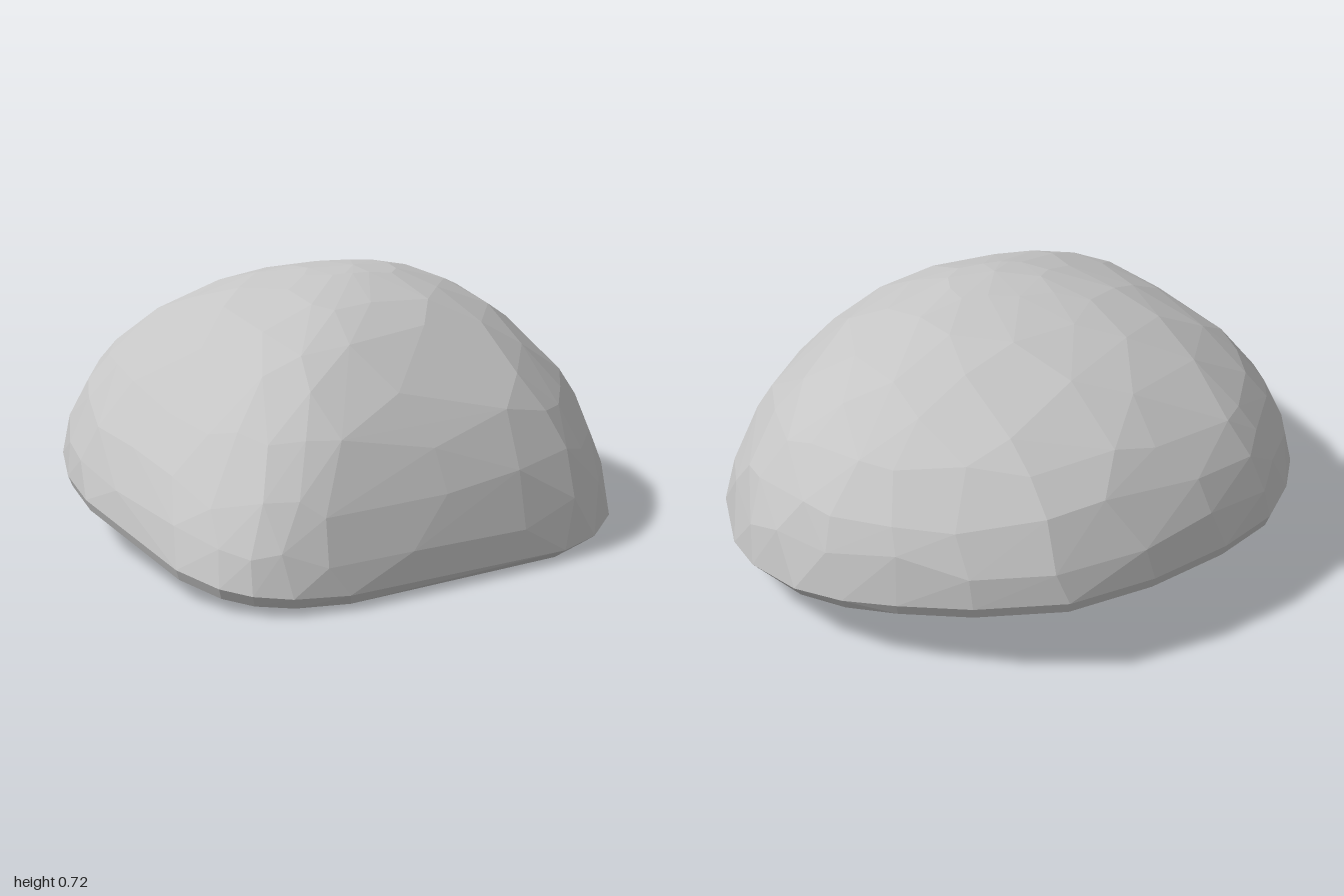
import * as THREE from 'three';
import { ConvexGeometry } from 'three/addons/geometries/ConvexGeometry.js';

// plan outline: x, z, and roundness of the dome profile above that point
const OUTLINE = [
  [0, -1, 2.02], [0.15, -1, 2.02], [0.3, -0.96, 2], [0.47, -0.85, 1.95], [0.58, -0.73, 1.9],
  [0.73, -0.47, 1.82], [0.78, -0.2, 1.74], [0.8, 0, 1.7], [0.77, 0.2, 1.68], [0.7, 0.35, 1.66],
  [0.45, 0.62, 1.62], [0.2, 0.9, 1.56], [0.07, 0.98, 1.53], [-0.03, 1, 1.53], [-0.12, 0.98, 1.54],
  [-0.25, 0.89, 1.58], [-0.42, 0.68, 1.64], [-0.6, 0.46, 1.74], [-0.7, 0.28, 1.83], [-0.77, 0.08, 1.9],
  [-0.8, -0.1, 1.95], [-0.8, -0.3, 1.96], [-0.73, -0.5, 1.96], [-0.6, -0.72, 1.98], [-0.43, -0.9, 2],
  [-0.2, -0.98, 2.02],
];
const APEX = new THREE.Vector3(0.05, 0.72, -0.1);
const RIM = 0.03;
const LEVELS = 8;

// tilted plane of the underside
const baseY = (x, z) => 0.083 - 0.093 * x - 0.065 * z;

function createModel() {
  const stone = new THREE.MeshStandardMaterial({ color: 0xc5c5c5 });
  stone.name = 'grey stone';

  let seed = 7;
  const jitter = (amount) => {
    seed = (seed * 16807) % 2147483647;
    return (seed / 2147483647 - 0.5) * amount;
  };

  const points = [APEX.clone()];
  OUTLINE.forEach(([ox, oz, p], i) => {
    // narrow bevel around the underside, widest on the left
    const inset = 0.985 - 0.045 * Math.max(0, ox);
    const bx = APEX.x + (ox - APEX.x) * inset;
    const bz = APEX.z + (oz - APEX.z) * inset;
    points.push(new THREE.Vector3(bx, baseY(bx, bz), bz));

    // rim, then rings curving up to the apex with slightly uneven facets
    points.push(new THREE.Vector3(ox, baseY(ox, oz) + RIM, oz));
    const next = OUTLINE[(i + 1) % OUTLINE.length];
    for (let k = 1; k < LEVELS; k++) {
      if (k > 3 && (i + k) % 2) continue;
      const blend = 0.3 + jitter(0.5);
      const px = THREE.MathUtils.lerp(ox, next[0], blend);
      const pz = THREE.MathUtils.lerp(oz, next[1], blend);
      const power = THREE.MathUtils.lerp(p, next[2], blend);
      const a = ((k + jitter(0.5)) / LEVELS) * Math.PI / 2;
      const t = Math.pow(Math.cos(a), 2 / power);
      const h = Math.pow(Math.sin(a), 2 / power);
      const low = baseY(px, pz) + RIM;
      points.push(new THREE.Vector3(
        APEX.x + (px - APEX.x) * t,
        low + (APEX.y - low) * h,
        APEX.z + (pz - APEX.z) * t,
      ));
    }
  });

  const boulder = new THREE.Mesh(new ConvexGeometry(points), stone);
  boulder.name = 'boulder';

  const group = new THREE.Group();
  group.name = 'rock';
  group.add(boulder);
  return group;
}

export { createModel };
